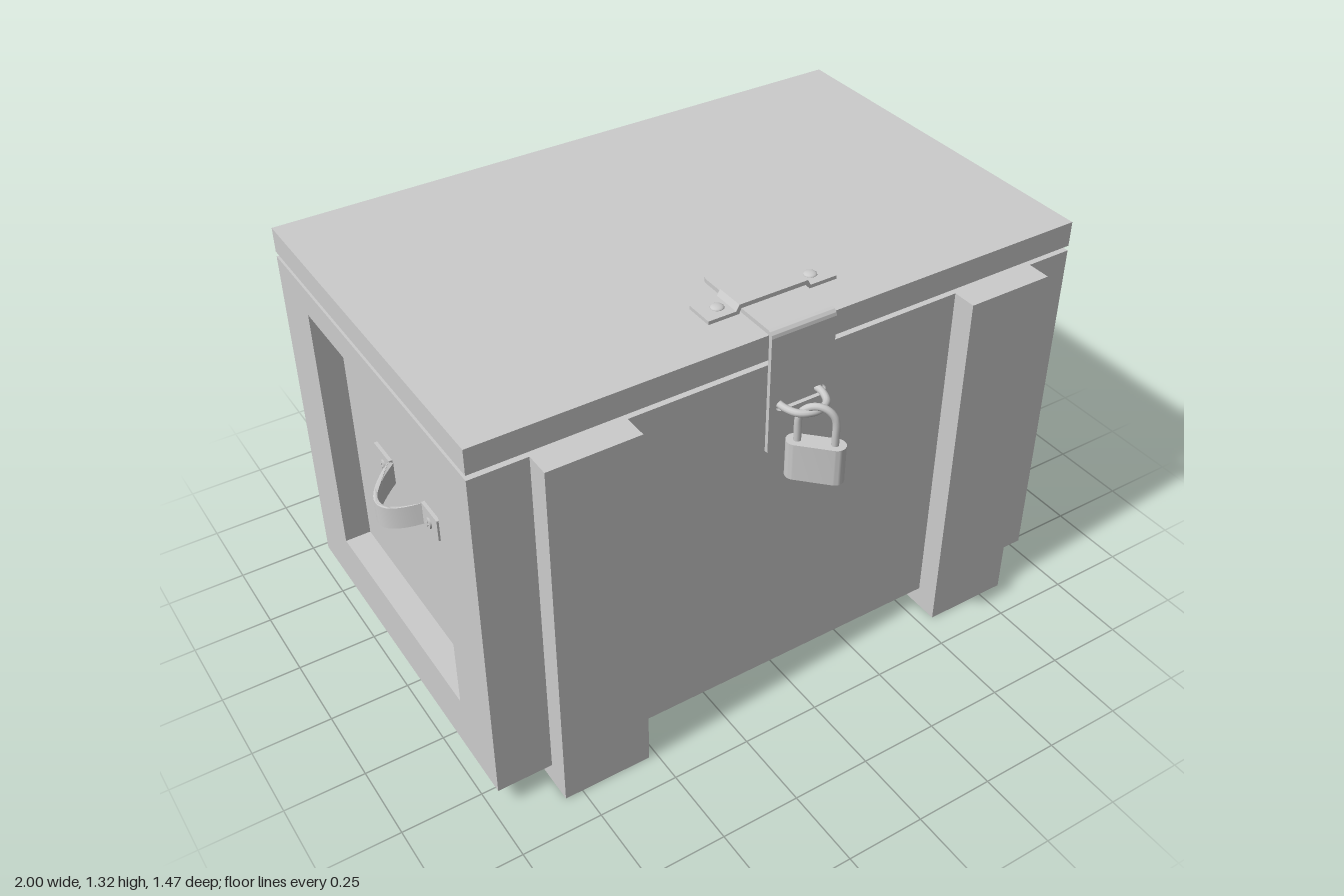
import * as THREE from 'three';
import { toCreasedNormals } from 'three/addons/utils/BufferGeometryUtils.js';

const mat = new THREE.MeshStandardMaterial({ color: 0xcccccc });

function add(parent, name, geo, x = 0, y = 0, z = 0) {
  const m = new THREE.Mesh(geo, mat);
  m.name = name;
  m.position.set(x, y, z);
  parent.add(m);
  return m;
}

// Box given by its lower and upper limits on each axis
function block(parent, name, [x0, x1], [y0, y1], [z0, z1]) {
  return add(parent, name, new THREE.BoxGeometry(x1 - x0, y1 - y0, z1 - z0),
    (x0 + x1) / 2, (y0 + y1) / 2, (z0 + z1) / 2);
}

const shapeOf = (pts) => new THREE.Shape(pts.map(([x, y]) => new THREE.Vector2(x, y)));
const extrude = (shape, depth, curveSegments = 10) =>
  new THREE.ExtrudeGeometry(shape, { depth, bevelEnabled: false, curveSegments });

const W = 0.978, PANEL = 0.895, BACK = -0.65, FRONT = 0.57;

// Frame around the recessed end panel, running from x = 0 to its thickness
function endFrameGeometry() {
  const s = shapeOf([[-FRONT, 0.07], [-BACK, 0.07], [-BACK, 1.2], [-FRONT, 1.2]]);
  s.holes.push(new THREE.Path([[-0.365, 0.25], [-0.365, 1.11], [0.445, 1.11], [0.445, 0.25]]
    .map(([x, y]) => new THREE.Vector2(x, y))));
  return extrude(s, W - PANEL).rotateY(Math.PI / 2);
}

// Drooping strap handle with its two screwed plates; side is +1 or -1
function makeHandle(side) {
  const g = new THREE.Group();
  g.name = side > 0 ? 'leftHandle' : 'rightHandle';
  const zc = -0.043, half = 0.112, n = 16, outer = [], inner = [];
  for (let i = 0; i <= n; i++) {
    const t = -1 + 2 * i / n, bulge = 1 - t * t;
    outer.push([zc + half * t, side * (PANEL + 0.01 + 0.095 * bulge)]);
    inner.unshift([zc + (half - 0.01) * t, side * (PANEL + 0.093 * bulge)]);
  }
  let strap = extrude(shapeOf([...outer, ...inner]), 0.075);
  // turn the outline to lie level, then let its middle sag
  strap.applyMatrix4(new THREE.Matrix4().set(0, 1, 0, 0, 0, 0, 1, 0, 1, 0, 0, 0, 0, 0, 0, 1));
  const p = strap.attributes.position;
  for (let i = 0; i < p.count; i++) {
    const t = (p.getZ(i) - zc) / half;
    p.setY(i, p.getY(i) + 0.665 - 0.036 * (1 - t * t));
  }
  strap = toCreasedNormals(strap, 0.6);
  add(g, 'handleStrap', strap);
  for (const [z0, z1, zs] of [[0.065, 0.165, 0.112], [-0.255, -0.15, -0.195]]) {
    const x = side * (PANEL + 0.005);
    block(g, 'handlePlate', [x - 0.006, x + 0.006], [0.67, 0.742], [z0, z1]);
    add(g, 'screw', new THREE.CylinderGeometry(0.017, 0.017, 0.014, 16).rotateZ(Math.PI / 2),
      x + side * 0.005, 0.7, zs);
    for (const [h, d] of [[0.02, 0.004], [0.004, 0.02]])
      add(g, 'screwCross', new THREE.BoxGeometry(0.002, h, d), x + side * 0.0125, 0.7, zs);
  }
  return g;
}

// Bent hasp plate, holding clip and staple, centred on x = 0
function makeHasp() {
  const g = new THREE.Group();
  g.name = 'hasp';
  const w = 0.105, t = 0.013, r = 0.03;
  // top leaf, rounded at its back corners
  const top = new THREE.Shape();
  top.moveTo(-w, -0.565);
  top.lineTo(w, -0.565);
  top.lineTo(w, -0.25 - r);
  top.quadraticCurveTo(w, -0.25, w - r, -0.25);
  top.lineTo(-w + r, -0.25);
  top.quadraticCurveTo(-w, -0.25, -w, -0.25 - r);
  add(g, 'haspTop', extrude(top, t).rotateX(-Math.PI / 2), 0, 1.297, 0);
  // quarter-round bend
  const bend = new THREE.Shape();
  bend.absarc(0, 0, 0.02, 0, Math.PI / 2, false);
  bend.absarc(0, 0, 0.007, Math.PI / 2, 0, true);
  add(g, 'haspBend', toCreasedNormals(extrude(bend, 2 * w).rotateY(-Math.PI / 2), 0.6),
    w, 1.29, 0.565);
  // front leaf with cut corners and a slot
  const front = shapeOf([[-w, 1.29], [-w, 0.915], [-0.06, 0.87], [0.06, 0.87], [w, 0.915], [w, 1.29]]);
  const slot = new THREE.Path();
  slot.absarc(0.065, 1.062, 0.018, -Math.PI / 2, Math.PI / 2, false);
  slot.absarc(-0.065, 1.062, 0.018, Math.PI / 2, Math.PI * 1.5, false);
  front.holes.push(slot);
  add(g, 'haspFront', extrude(front, t), 0, 0, 0.572);
  // clip over the top leaf
  const half = [[0.21, 1.295], [0.21, 1.306], [0.122, 1.306], [0.112, 1.324]];
  const under = [[0.106, 1.311], [0.112, 1.295]];
  const flip = (pts) => pts.map(([x, y]) => [-x, y]).reverse();
  const clip = shapeOf([...half, ...flip(half), ...flip(under), ...under]);
  add(g, 'haspClip', extrude(clip, 0.092), 0, 0, 0.353);
  for (const s of [-1, 1]) {
    const rivet = new THREE.SphereGeometry(0.02, 16, 6, 0, Math.PI * 2, 0, Math.PI / 2).scale(1, 0.4, 1);
    add(g, 'rivet', rivet, s * 0.153, 1.306, 0.4);
  }
  // staple through the slot
  const loop = new THREE.CatmullRomCurve3([[-0.066, 0.56], [-0.064, 0.6], [-0.045, 0.64], [0, 0.658],
    [0.045, 0.64], [0.064, 0.6], [0.066, 0.56]].map(([x, z]) => new THREE.Vector3(x, 1.062, z)));
  add(g, 'staple', new THREE.TubeGeometry(loop, 28, 0.011, 10));
  g.position.x = 0.01;
  return g;
}

// Padlock hanging askew from the staple
function makePadlock() {
  const g = new THREE.Group();
  g.name = 'padlock';
  const s = new THREE.Shape();
  s.absarc(0.056, 0, 0.028, -Math.PI / 2, Math.PI / 2, false);
  s.absarc(-0.056, 0, 0.028, Math.PI / 2, Math.PI * 1.5, false);
  add(g, 'padlockBody', toCreasedNormals(extrude(s, 0.12).rotateX(-Math.PI / 2), 0.6), 0, 0.843, 0);
  const pts = [[-0.052, 0.95], [-0.052, 0.99]];
  for (let i = 0; i <= 8; i++) {
    const a = Math.PI * (1 - i / 8);
    pts.push([0.052 * Math.cos(a), 1.03 + 0.052 * Math.sin(a)]);
  }
  pts.push([0.052, 0.99], [0.052, 0.95]);
  const path = new THREE.CatmullRomCurve3(pts.map(([x, y]) => new THREE.Vector3(x, y, 0)));
  add(g, 'shackle', new THREE.TubeGeometry(path, 40, 0.011, 10));
  g.position.set(0.008, 0, 0.665);
  g.rotation.y = -0.8;
  return g;
}

export function createModel() {
  const model = new THREE.Group();
  model.name = 'crate';

  // Chest and lid
  block(model, 'chestBody', [-PANEL, PANEL], [0.07, 1.2], [BACK, FRONT]);
  block(model, 'lid', [-W, W], [1.216, 1.295], [BACK, FRONT]);
  add(model, 'leftEndFrame', endFrameGeometry(), PANEL);
  add(model, 'rightEndFrame', endFrameGeometry(), -W);

  // Battens wrapping front, underside and back
  for (const x of [-0.665, 0.69])
    block(model, 'batten', [x - 0.14, x + 0.14], [0, 1.2], [-0.733, 0.645]);

  model.add(makeHandle(1), makeHandle(-1), makeHasp(), makePadlock());
  return model;
}
